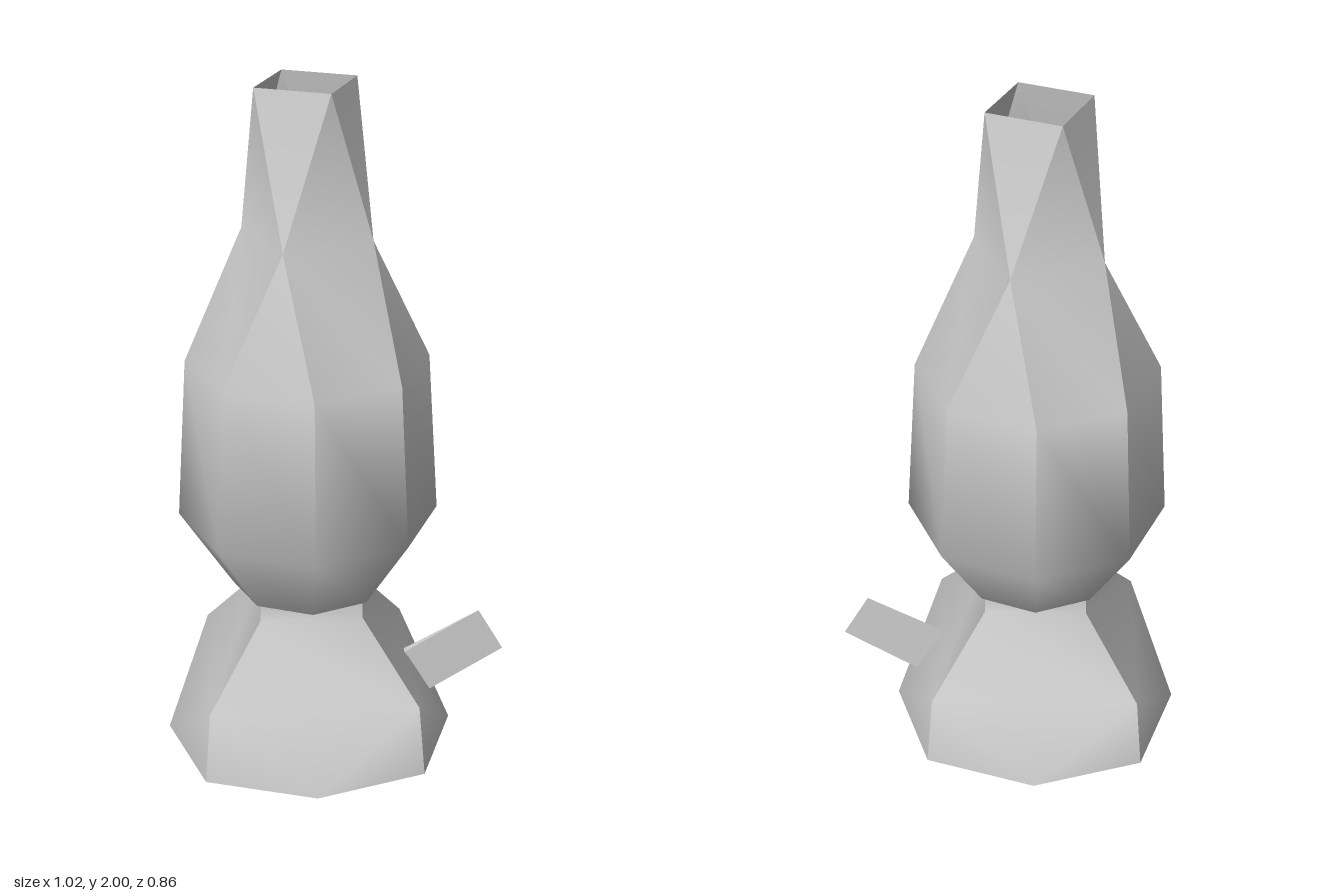
import * as THREE from 'three';
import { toCreasedNormals } from 'three/addons/utils/BufferGeometryUtils.js';

const AXIS_X = -0.083;
const grey = new THREE.MeshStandardMaterial({ color: 0xcccccc, side: THREE.DoubleSide });
grey.name = 'lamp grey';

// Ring of n points starting at an angle in degrees; radius may depend on the index
function ring(n, radius, y, start = 0) {
  return Array.from({ length: n }, (_, i) => {
    const a = THREE.MathUtils.degToRad(start + (360 / n) * i);
    const r = typeof radius === 'function' ? radius(i) : radius;
    return [r * Math.cos(a), y, r * Math.sin(a)];
  });
}

// Collects faces whose corners are listed with increasing angle, lower edge first
function faceBuilder() {
  const pos = [];
  const tri = (a, b, c) => pos.push(...a, ...c, ...b);
  const quad = (a, b, c, d) => { tri(a, b, c); tri(a, c, d); };
  const band = (lo, up) => lo.forEach((p, i) => {
    const j = (i + 1) % lo.length;
    quad(p, lo[j], up[j], up[i]);
  });
  const build = () => {
    const g = new THREE.BufferGeometry();
    g.setAttribute('position', new THREE.Float32BufferAttribute(pos, 3));
    return toCreasedNormals(g, 0.7);
  };
  return { tri, quad, band, build };
}

function mesh(name, geometry) {
  const m = new THREE.Mesh(geometry, grey);
  m.name = name;
  return m;
}

// Octagonal foot turning into a square neck
function baseGeometry() {
  const f = faceBuilder();
  const foot = ring(8, i => (i % 2 ? 0.455 : 0.43), 0);
  const square = (half, y) => ring(4, half * Math.SQRT2, y, 45);
  const shoulder = square(0.305, 0.215);
  const neck = square(0.15, 0.435);
  const rim = square(0.15, 0.5);
  for (let k = 0; k < 4; k++) {
    const prev = shoulder[(k + 3) % 4], cur = shoulder[k];
    const mid = foot[2 * k], corner = foot[2 * k + 1], next = foot[(2 * k + 2) % 8];
    f.tri(mid, cur, prev);
    f.tri(mid, corner, cur);
    f.tri(corner, next, cur);
  }
  f.band(shoulder, neck);
  f.band(neck, rim);
  f.quad(...rim);
  foot.forEach((p, i) => f.tri(foot[(i + 1) % 8], p, [0, 0, 0]));
  return f.build();
}

// Glass chimney: octagonal bulb twisting into a square flue, open at both ends
function chimneyGeometry() {
  const f = faceBuilder();
  const low = ring(8, 0.225, 0.49);
  const belly = ring(8, 0.38, 0.72);
  const P = ring(8, 0.35, 1.2);
  const V = ring(4, 0.195, 1.57, 22.5);
  const T = ring(4, 0.156, 2, -22.5);
  f.band(low, belly);
  f.band(belly, P);
  for (let k = 0; k < 4; k++) {
    const n = (k + 1) % 4;
    f.tri(P[2 * k], P[2 * k + 1], V[k]);
    f.quad(P[2 * k + 1], P[(2 * k + 2) % 8], V[n], V[k]);
    f.tri(V[k], V[n], T[n]);
    f.tri(V[k], T[n], T[k]);
  }
  const g = f.build();
  // Round shading on the lower bulb, fading into the creases above
  const p = g.attributes.position, nrm = g.attributes.normal, v = new THREE.Vector3();
  for (let i = 0; i < p.count; i++) {
    if (p.getY(i) > 0.8) continue;
    v.set(p.getX(i), 0, p.getZ(i)).normalize();
    v.y = p.getY(i) > 0.6 ? -0.31 : -0.67;
    v.normalize();
    nrm.setXYZ(i, v.x, v.y, v.z);
  }
  return g;
}

// Flat plate thinning to an edge at its +y end
function wedgeGeometry(width, length, thickness) {
  const g = new THREE.BoxGeometry(width, length, thickness);
  const p = g.attributes.position;
  for (let i = 0; i < p.count; i++) if (p.getY(i) > 0) p.setZ(i, 0);
  return toCreasedNormals(g, 0.5);
}

export function createModel() {
  const group = new THREE.Group();
  group.name = 'oilLamp';

  const base = mesh('base', baseGeometry());
  const chimney = mesh('chimney', chimneyGeometry());
  const wick = mesh('wick', wedgeGeometry(0.165, 0.2, 0.026));
  wick.position.y = 0.58;
  for (const part of [base, chimney, wick]) {
    part.position.x = AXIS_X;
    group.add(part);
  }

  // Wick key sticking out of the base
  const key = mesh('wickKey', wedgeGeometry(0.153, 0.36, 0.032));
  key.position.set(0.314, 0.21, 0);
  key.rotation.z = -Math.PI / 3;
  group.add(key);

  return group;
}
